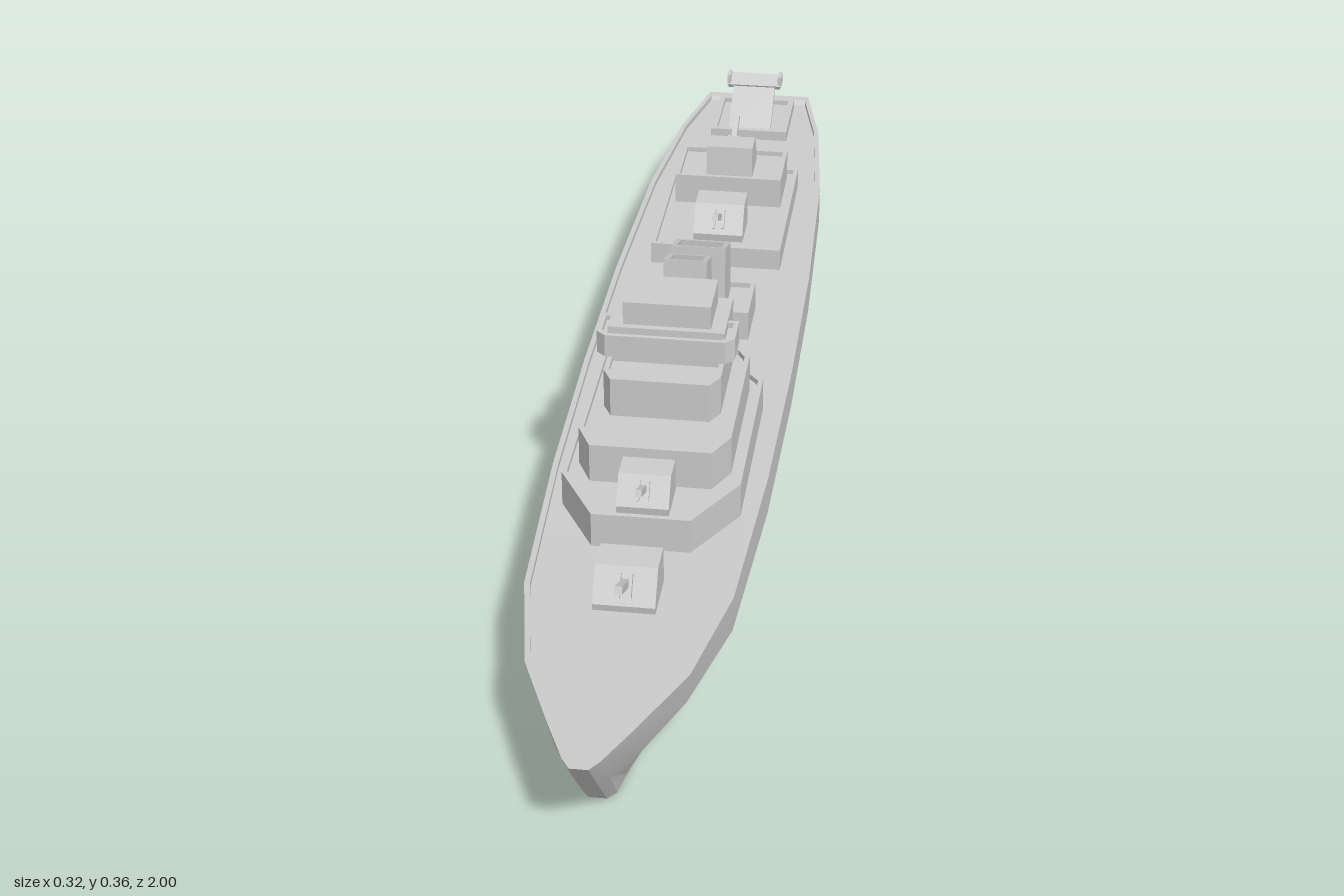
import * as THREE from 'three';
import { toCreasedNormals } from 'three/addons/utils/BufferGeometryUtils.js';

const grey = new THREE.MeshStandardMaterial({ color: 0xcccccc });

function add(parent, name, geometry) {
  const mesh = new THREE.Mesh(geometry, grey);
  mesh.name = name;
  parent.add(mesh);
  return mesh;
}

function box(parent, name, w, y0, y1, z0, z1, x = 0) {
  const g = new THREE.BoxGeometry(w, y1 - y0, z1 - z0);
  return add(parent, name, g.translate(x, (y0 + y1) / 2, (z0 + z1) / 2));
}

// Plan outline given as right-hand [x, z] points, mirrored to the other side
function planShape(half) {
  const other = half.map(([x, z]) => [-x, z]).reverse();
  return new THREE.Shape([...half, ...other].map(([x, z]) => new THREE.Vector2(x, -z)));
}

function extrudeUp(shape, y0, y1) {
  const g = new THREE.ExtrudeGeometry(shape, { depth: y1 - y0, bevelEnabled: false });
  return g.rotateX(-Math.PI / 2).translate(0, y0, 0);
}

// Side profile of [z, y] points extruded across the ship
function extrudeAcross(profile, width, x = 0) {
  const shape = new THREE.Shape(profile.map(([z, y]) => new THREE.Vector2(z, y)));
  const g = new THREE.ExtrudeGeometry(shape, { depth: width, bevelEnabled: false });
  return g.translate(0, 0, -width / 2).rotateY(-Math.PI / 2).translate(x, 0, 0);
}

// Deckhouse level with a low parapet around its roof
function tier(parent, name, half, y0, y1, rim = 0.008, t = 0.007) {
  const zs = half.map((p) => p[1]);
  const mid = (Math.max(...zs) + Math.min(...zs)) / 2;
  const len = (Math.max(...zs) - Math.min(...zs)) / 2;
  const wide = Math.max(...half.map((p) => p[0]));
  const inner = half.map(([x, z]) => [x * (1 - t / wide), mid + (z - mid) * (1 - t / len)]);
  const group = new THREE.Group();
  group.name = name;
  parent.add(group);
  add(group, name + 'Block', extrudeUp(planShape(half), y0, y1 - rim));
  const ring = planShape(half);
  ring.holes.push(planShape(inner));
  add(group, name + 'Parapet', extrudeUp(ring, y1 - rim, y1));
}

const rect = (x, z0, z1) => [[x, z1], [x, z0]];

// Hull lofted from cross-sections; deck is sunk behind a low bulwark
function hullGeometry() {
  // zDeck, xDeck, yDeck, zChine, xChine, zKeel, xKeel, bulwark height
  const stations = [
    [-1, 0.09, 0.131, -0.975, 0.085, -0.93, 0.035, 0],
    [-0.985, 0.093, 0.131, -0.962, 0.089, -0.92, 0.036, 0],
    [-0.98, 0.094, 0.131, -0.957, 0.09, -0.915, 0.036, 0.008],
    [-0.85, 0.122, 0.131, -0.84, 0.12, -0.82, 0.04, 0.008],
    [-0.62, 0.145, 0.131, -0.62, 0.145, -0.62, 0.043, 0.008],
    [-0.3, 0.156, 0.131, -0.3, 0.156, -0.3, 0.043, 0.008],
    [0, 0.158, 0.131, 0, 0.158, 0, 0.043, 0.008],
    [0.3, 0.154, 0.131, 0.3, 0.154, 0.3, 0.043, 0.008],
    [0.6, 0.14, 0.132, 0.59, 0.138, 0.58, 0.043, 0.008],
    [0.78, 0.106, 0.136, 0.755, 0.098, 0.72, 0.04, 0.008],
    [0.9, 0.058, 0.142, 0.86, 0.056, 0.81, 0.031, 0.008],
    [0.905, 0.056, 0.142, 0.865, 0.054, 0.815, 0.03, 0],
    [0.98, 0.024, 0.146, 0.918, 0.025, 0.856, 0.023, 0],
    [1, 0.012, 0.147, 0.935, 0.012, 0.87, 0.012, 0],
  ];
  const rings = stations.map(([zd, xd, yd, zc, xc, zk, xk, h]) => {
    const xi = xd - Math.min(0.008, xd * 0.3);
    const half = [[xk, 0, zk], [xc, 0.073, zc], [xd, yd, zd], [xi, yd, zd], [xi, yd - h, zd]];
    return [...half, ...half.map(([x, y, z]) => [-x, y, z]).reverse()];
  });
  const n = rings[0].length;
  const last = (rings.length - 1) * n;
  const index = [];
  for (let i = 0; i < rings.length - 1; i++) {
    for (let j = 0; j < n; j++) {
      const a = i * n + j, b = i * n + ((j + 1) % n);
      index.push(a, b, b + n, a, b + n, a + n);
    }
  }
  for (let j = 1; j < n - 1; j++) {
    index.push(0, j + 1, j);
    index.push(last, last + j, last + j + 1);
  }
  const g = new THREE.BufferGeometry();
  g.setAttribute('position', new THREE.Float32BufferAttribute(rings.flat(2), 3));
  g.setIndex(index);
  return toCreasedNormals(g, 0.45);
}

// Gun house with sloped face and one raised barrel; facing is 1 or -1 along z
function turret(parent, name, y, z, facing, s = 1) {
  const group = new THREE.Group();
  group.name = name;
  add(group, 'gunHouse', extrudeAcross(
    [[-0.037, 0], [0.037, 0], [0.039, 0.012], [0.012, 0.052], [-0.032, 0.052]], 0.076));
  const barrel = add(group, 'gunBarrel', new THREE.BoxGeometry(0.009, 0.01, 0.075));
  barrel.position.set(0, 0.044, 0.042);
  barrel.rotation.x = -0.45;
  for (const side of [-1, 1]) {
    const cheek = add(group, 'gunSlot', new THREE.BoxGeometry(0.004, 0.03, 0.012));
    cheek.position.set(side * 0.007, 0.033, 0.027);
    cheek.rotation.x = -0.59;
  }
  group.position.set(0, y, z);
  group.rotation.y = facing > 0 ? 0 : Math.PI;
  group.scale.setScalar(s);
  parent.add(group);
}

// Open-topped funnel with a raked rim; front and back are [zBottom, zTop, yTop]
function funnel(parent, name, width, y0, front, back) {
  const t = 0.008;
  const group = new THREE.Group();
  group.name = name;
  parent.add(group);
  const [fb, ft, fy] = front, [bb, bt, by] = back;
  const slope = ((fy - by) / (ft - bt)) * t;
  for (const side of [-1, 1]) {
    add(group, 'funnelSide', extrudeAcross(
      [[bb, y0], [fb, y0], [ft, fy], [bt, by]], t, side * (width - t) / 2));
  }
  const inside = width - 2 * t;
  add(group, 'funnelFront', extrudeAcross(
    [[fb - t, y0], [fb, y0], [ft, fy], [ft - t, fy - slope]], inside));
  add(group, 'funnelBack', extrudeAcross(
    [[bb, y0], [bb + t, y0], [bt + t, by + slope], [bt, by]], inside));
  box(group, 'funnelFloor', inside, y0, by - 0.04, bt + t, ft - t);
}

export function createModel() {
  const ship = new THREE.Group();
  ship.name = 'warship';
  add(ship, 'hull', hullGeometry());
  const deck = 0.122;

  // Forward superstructure and bridge
  tier(ship, 'lowerDeckhouse',
    [[0.068, 0.49], [0.125, 0.39], [0.125, 0.1], [0.095, 0.065]], deck, 0.175);
  tier(ship, 'middleDeckhouse',
    [[0.085, 0.395], [0.107, 0.35], [0.107, 0.12], [0.095, 0.1]], 0.167, 0.225);
  tier(ship, 'upperDeckhouse',
    [[0.07, 0.3], [0.083, 0.275], [0.083, 0.13]], 0.217, 0.276);
  box(ship, 'bridgeTower', 0.166, 0.268, 0.323, 0.13, 0.235);
  tier(ship, 'bridgeWings', [[0.085, 0.25], [0.098, 0.238], [0.098, 0.185]], 0.283, 0.317);
  box(ship, 'bridgeTop', 0.125, 0.323, 0.358, 0.142, 0.225);

  // Funnels on their bases
  tier(ship, 'forwardFunnelBase', rect(0.057, -0.058, 0.056), deck, 0.175);
  funnel(ship, 'forwardFunnel', 0.064, 0.165, [0.04, 0.028, 0.325], [-0.04, -0.03, 0.305]);
  tier(ship, 'aftFunnelBase', rect(0.08, -0.208, -0.105), deck, 0.17);
  funnel(ship, 'aftFunnel', 0.084, 0.16, [-0.115, -0.122, 0.27], [-0.193, -0.187, 0.248]);

  // Aft deckhouse
  tier(ship, 'aftDeckhouse', rect(0.105, -0.645, -0.34), deck, 0.158);
  tier(ship, 'aftUpperDeckhouse', rect(0.088, -0.625, -0.51), 0.15, 0.2);

  // Guns
  turret(ship, 'bowTurret', deck, 0.6, 1, 1.1);
  turret(ship, 'raisedBowTurret', 0.167, 0.435, 1, 0.95);
  turret(ship, 'aftForwardTurret', 0.15, -0.415, 1, 1.05);
  turret(ship, 'sternTurret', 0.192, -0.565, -1, 1);

  // Stern hatch with inclined ramp
  tier(ship, 'sternHatch', rect(0.067, -0.968, -0.825), deck, 0.14, 0.008, 0.01);
  add(ship, 'sternRamp', extrudeAcross(
    [[-0.84, 0.13], [-0.83, 0.132], [-0.925, 0.195], [-0.93, 0.188]], 0.074));
  const bar = add(ship, 'rampCrossbar', new THREE.BoxGeometry(0.092, 0.008, 0.028));
  bar.position.set(0, 0.192, -0.924);
  bar.rotation.x = 0.5;
  for (const side of [-1, 1]) {
    box(ship, 'crossbarEnd', 0.006, 0.186, 0.205, -0.938, -0.912, side * 0.045);
  }
  return ship;
}
